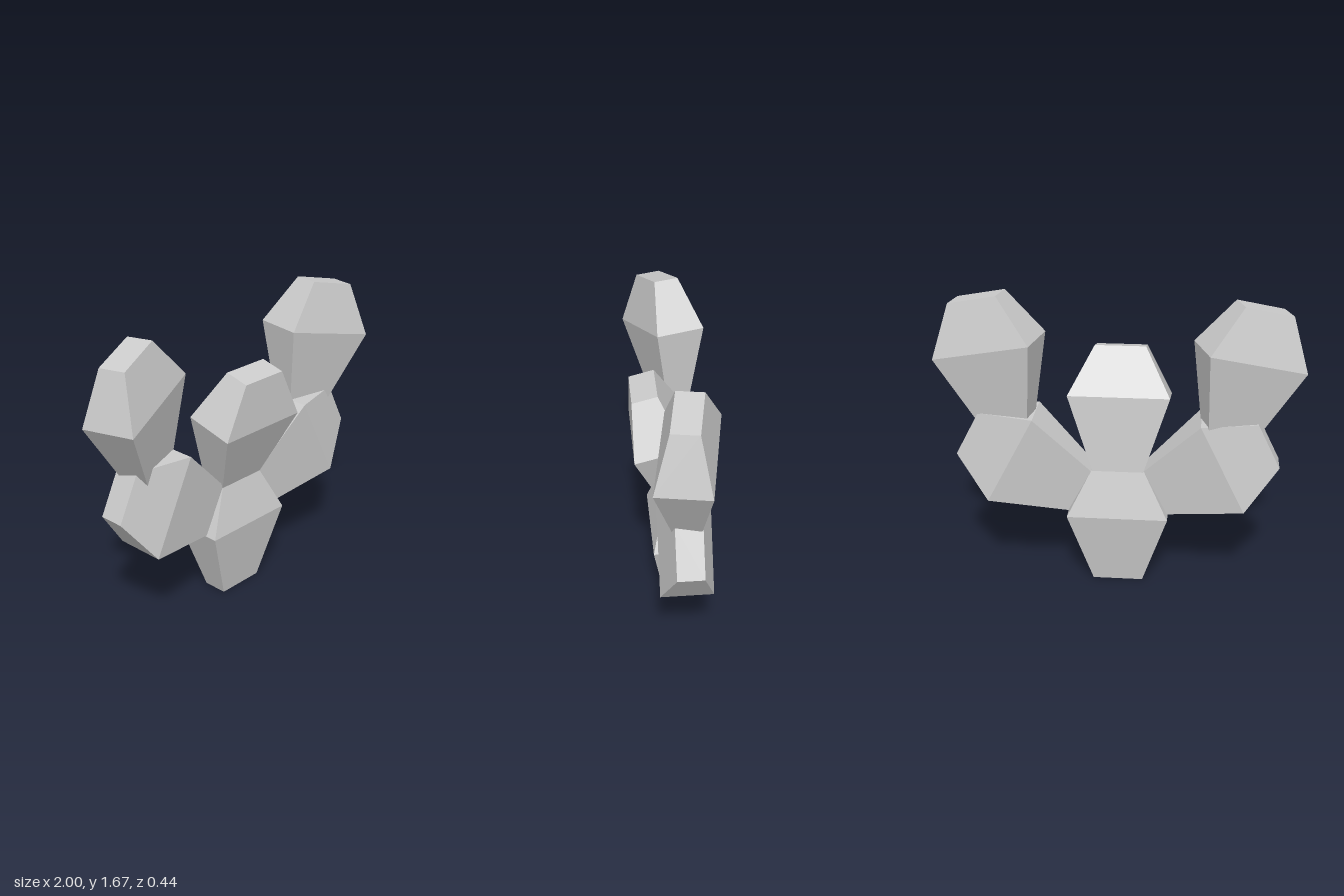
import * as THREE from 'three';

// Faceted cactus pad: origin at its widest section, tapering to both ends
function padGeometry() {
  const geometry = new THREE.BoxGeometry(0.56, 2, 0.28, 1, 2, 1);
  const p = geometry.attributes.position;
  for (let i = 0; i < p.count; i++) {
    const y = p.getY(i);
    if (Math.abs(y) < 0.5) continue;
    p.setXYZ(i, p.getX(i) * 0.5, y > 0 ? 0.275 : -0.425, p.getZ(i) * 0.5);
  }
  geometry.computeVertexNormals();
  return geometry;
}

export function createModel() {
  const cactus = new THREE.Group();
  cactus.name = 'cactus';
  const material = new THREE.MeshStandardMaterial({ color: 0xcccccc, flatShading: true });
  const geometry = padGeometry();

  // name, centre of the widest section, then pitch, yaw and roll in degrees
  const pads = [
    ['basePad', [0, 0.425, -0.02], 0, 0, 0],
    ['middlePad', [0, 1.075, 0.08], 14.5, 0, 0],
    ['leftArmPad', [0.59, 0.755, -0.02], 0, 0, -62.1],
    ['rightArmPad', [-0.575, 0.743, -0.02], 0, 0, 63.7],
    ['leftTopPad', [0.7, 1.375, -0.02], 0, -10.4, -12.4],
    ['rightTopPad', [-0.7, 1.345, -0.008], 0, 18.4, 14.5],
  ];
  for (const [name, centre, pitch, yaw, roll] of pads) {
    const pad = new THREE.Mesh(geometry, material);
    pad.name = name;
    pad.position.set(...centre);
    const [x, y, z] = [pitch, yaw, roll].map(THREE.MathUtils.degToRad);
    pad.rotation.set(x, y, z, 'YXZ');
    cactus.add(pad);
  }
  return cactus;
}
